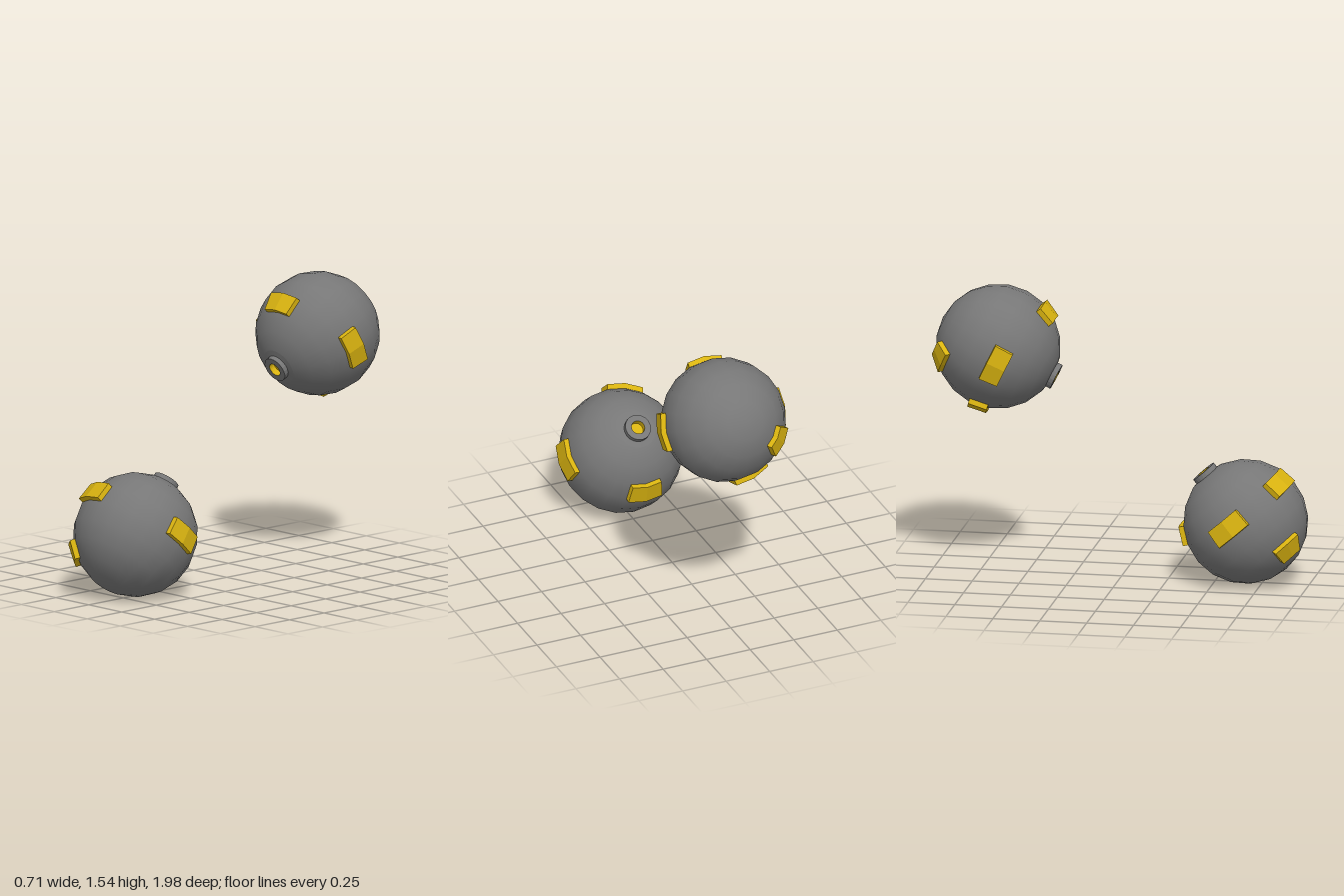
import * as THREE from 'three';

const R = 0.328;             // ball radius
const STEP = Math.PI / 10;   // 18 degrees: 20 segments around, 10 rows

const grey = new THREE.MeshStandardMaterial({ color: 0x777777 });
const greyRing = new THREE.MeshStandardMaterial({ color: 0x777777, flatShading: true });
const yellow = new THREE.MeshStandardMaterial({ color: 0xd9b310, flatShading: true });

// Point on the ball; azimuth a from +z towards +x and latitude b, in grid steps
function onBall(a, b) {
  const az = a * STEP, lat = b * STEP;
  return new THREE.Vector3(
    R * Math.cos(lat) * Math.sin(az), R * Math.sin(lat), R * Math.cos(lat) * Math.cos(az));
}

// Raised pad: two neighbouring ball facets pushed out along their shared normal
function pad(name, a, b, thickness = 0.028) {
  const normal = onBall(a, b + 0.5).normalize();
  const sections = [-1, 0, 1].map(d => {
    const low = onBall(a + d, b), high = onBall(a + d, b + 1);
    const lift = (p, h) => p.clone().addScaledVector(normal, h);
    return [lift(low, -0.015), lift(low, thickness), lift(high, thickness), lift(high, -0.015)];
  });
  const pos = [];
  const quad = (p, q, r, s) => [p, q, r, p, r, s].forEach(v => pos.push(v.x, v.y, v.z));
  for (let i = 0; i < 2; i++) {
    for (let k = 0; k < 4; k++) {
      const n = (k + 1) % 4;
      quad(sections[i][k], sections[i + 1][k], sections[i + 1][n], sections[i][n]);
    }
  }
  const [first, , last] = sections;
  quad(first[0], first[1], first[2], first[3]);
  quad(last[3], last[2], last[1], last[0]);
  const geo = new THREE.BufferGeometry();
  geo.setAttribute('position', new THREE.Float32BufferAttribute(pos, 3));
  geo.computeVertexNormals();
  const mesh = new THREE.Mesh(geo, yellow);
  mesh.name = name;
  return mesh;
}

// Turned part around the pole, profile listed from bottom to top
function turned(name, points, material) {
  const profile = points.map(([r, y]) => new THREE.Vector2(r, y));
  const mesh = new THREE.Mesh(new THREE.LatheGeometry(profile, 20), material);
  mesh.name = name;
  return mesh;
}

function studdedBall(name) {
  const ball = new THREE.Group();
  ball.name = name;

  // Main shell, open at the pole where the socket sits
  const shell = new THREE.Mesh(
    new THREE.SphereGeometry(R, 20, 9, 0, Math.PI * 2, STEP, Math.PI - STEP), grey);
  shell.name = 'shell';
  ball.add(shell);

  // Pole cap, socket rim and recessed socket
  const r0 = R * Math.sin(STEP), y0 = R * Math.cos(STEP);
  ball.add(turned('poleCap', [[r0, y0], [0.068, 0.318]], grey));
  ball.add(turned('socketRim', [[0.07, 0.31], [0.07, 0.345], [0.036, 0.345]], greyRing));
  ball.add(turned('socket', [[0.036, 0.345], [0.036, 0.31], [0, 0.31]], yellow));

  // Raised pads
  ball.add(
    pad('leftPad', 5, 0),
    pad('rightPad', -5, 0),
    pad('backPad', 10, 1),
    pad('frontPad', -1, 0),
    pad('lowerPad', -3, -3));
  return ball;
}

export function createModel() {
  const model = new THREE.Group();
  model.name = 'studdedBalls';

  const lower = studdedBall('lowerBall');
  lower.position.set(0, 0.332, 0.662);
  lower.rotation.x = THREE.MathUtils.degToRad(-41);

  const upper = studdedBall('upperBall');
  upper.position.set(0, 1.217, -0.658);
  upper.rotation.x = THREE.MathUtils.degToRad(116);

  model.add(lower, upper);
  return model;
}
